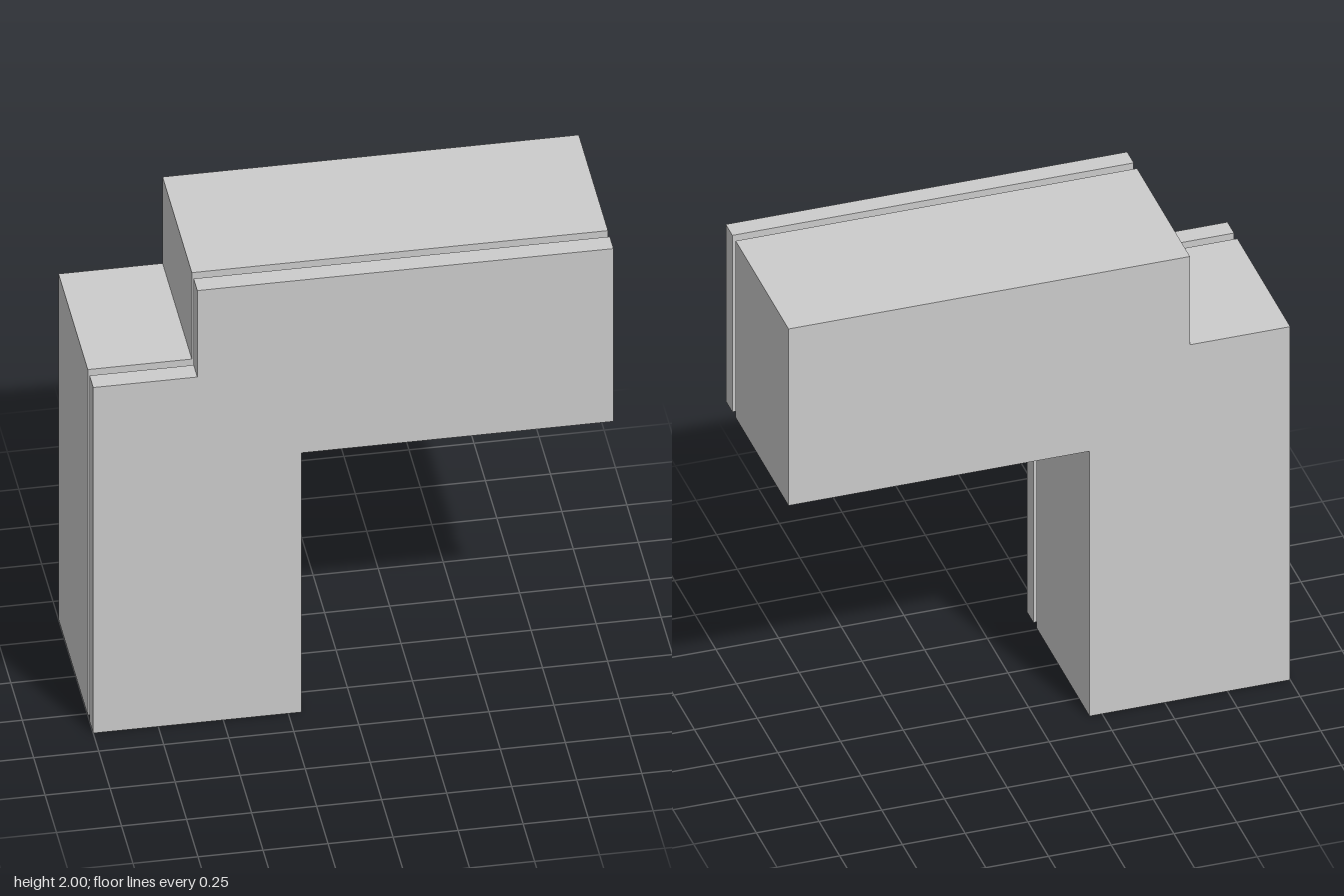
import * as THREE from 'three';

// Stepped L outline shared by the body and the front panel
const OUTLINE = [
  [-1, 0], [-0.2, 0], [-0.2, 1.2], [1, 1.2],
  [1, 2], [-0.6, 2], [-0.6, 1.6], [-1, 1.6],
];

export function createModel() {
  const group = new THREE.Group();
  const material = new THREE.MeshStandardMaterial({ color: 0xcccccc });
  const shape = new THREE.Shape(OUTLINE.map(([x, y]) => new THREE.Vector2(x, y)));

  // Extrude the outline between two depths
  const addSlab = (name, zBack, zFront) => {
    const geometry = new THREE.ExtrudeGeometry(shape, { depth: zFront - zBack, bevelEnabled: false });
    const mesh = new THREE.Mesh(geometry, material);
    mesh.name = name;
    mesh.position.z = zBack;
    group.add(mesh);
  };

  // Thick body with a thin panel floating just in front of it
  addSlab('body', -0.38, 0.26);
  addSlab('frontPanel', 0.3, 0.38);

  // Small tab tucked into the inner corner under the arm
  const tab = new THREE.Mesh(new THREE.BoxGeometry(0.16, 0.04, 0.08), material);
  tab.name = 'cornerTab';
  tab.position.set(-0.12, 1.18, 0.22);
  group.add(tab);

  return group;
}
